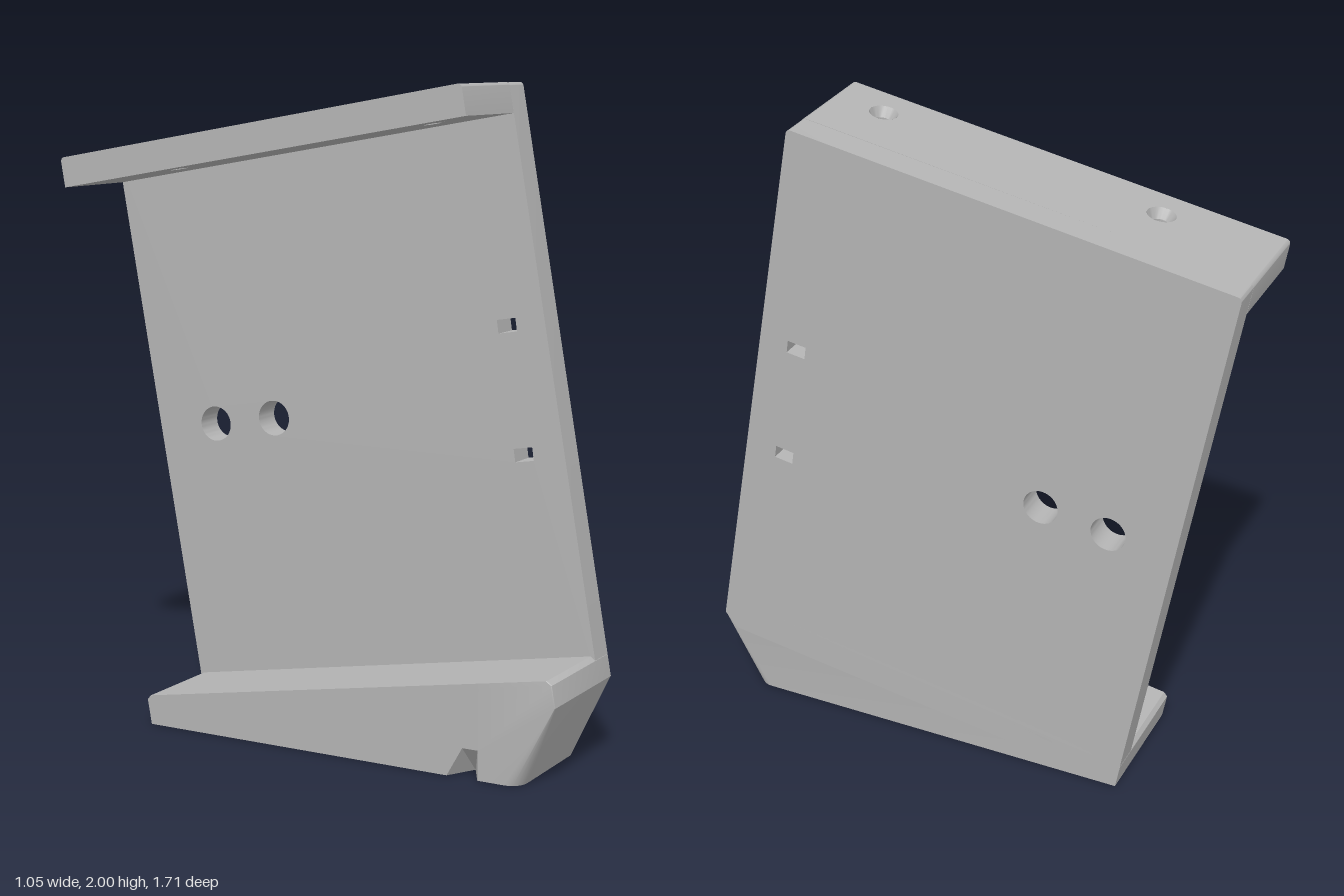
import * as THREE from 'three';
import { toCreasedNormals } from 'three/addons/utils/BufferGeometryUtils.js';

const grey = new THREE.MeshStandardMaterial({ color: 0xb4b4b4, side: THREE.DoubleSide });
grey.name = 'grey';

const LEFT = -0.197, RIGHT = 0.203; // across the bracket
const T = 0.092;                    // plate thickness
const INNER = RIGHT - T;
const R = 0.015;                    // small edge rounding
const TILT = THREE.MathUtils.degToRad(9.9);

function part(name, geometry, parent) {
  const mesh = new THREE.Mesh(geometry, grey);
  mesh.name = name;
  parent.add(mesh);
  return mesh;
}

const polygon = pts => new THREE.Shape(pts.map(p => new THREE.Vector2(...p)));

function circle(x, y, r) {
  const path = new THREE.Path();
  path.absarc(x, y, r, 0, Math.PI * 2);
  return path;
}

// Extrude a (z, y) profile sideways, from x0 to x1
function sideways(shape, x0, x1) {
  const g = new THREE.ExtrudeGeometry(shape, { depth: x1 - x0, bevelEnabled: false, curveSegments: 24 });
  return toCreasedNormals(g.rotateY(-Math.PI / 2).translate(x1, 0, 0), 0.6);
}

// Leaning side plate with two round holes and two small slots
function addWall(parent) {
  const shape = new THREE.Shape();
  shape.moveTo(-0.5, 0.01);
  shape.lineTo(0.8, 0.2);
  shape.lineTo(0.842, 0.25);
  shape.lineTo(0.531, 1.985);
  shape.quadraticCurveTo(0.528, 2, 0.513, 1.997);
  shape.lineTo(-0.836, 1.763);
  shape.quadraticCurveTo(-0.851, 1.76, -0.848, 1.745);
  shape.lineTo(-0.538, 0.01);
  for (const [z, y] of [[-0.272, 0.95], [-0.487, 0.915]]) shape.holes.push(circle(z, y, 0.055));
  for (const [z, y] of [[0.53, 1.29], [0.59, 0.91]]) {
    const corners = [[-1, -1], [1, -1], [1, 1], [-1, 1]].map(([a, b]) =>
      new THREE.Vector2(z + a * 0.03 - b * 0.003, y + b * 0.02 + a * 0.005));
    shape.holes.push(new THREE.Path(corners));
  }
  part('sidePlate', sideways(shape, INNER, RIGHT), parent);
}

// Sloping top flange with two countersunk screw holes
function addTopFlange(parent) {
  const flange = new THREE.Group();
  flange.name = 'topFlange';
  flange.position.set(0, 1.76, -0.851);
  flange.rotation.x = -TILT;
  parent.add(flange);

  const length = 1.4, holeX = -0.08, holes = [0.35, 1.234];
  const shape = polygon([[LEFT, -R], [LEFT, R - length], [INNER, R - length], [INNER, -R]]);
  for (const u of holes) shape.holes.push(circle(holeX, -u, 0.043));
  const g = new THREE.ExtrudeGeometry(shape, { depth: T, bevelEnabled: false, curveSegments: 24 });
  part('flangePlate', toCreasedNormals(g.rotateX(-Math.PI / 2).translate(0, -T, 0), 0.6), flange);

  for (const u of holes) {
    const profile = [[0.043, -T], [0.027, -T], [0.027, -0.03], [0.043, 0]].map(p => new THREE.Vector2(...p));
    part('screwHole', toCreasedNormals(new THREE.LatheGeometry(profile, 32), 0.4), flange)
      .position.set(holeX, 0, u);
  }

  // Rounded ends
  for (const [start, dir] of [[0, 1], [length, -1]]) {
    const end = new THREE.Shape();
    end.moveTo(start, -T);
    end.lineTo(start + dir * R, -T);
    end.lineTo(start + dir * R, 0);
    end.quadraticCurveTo(start, 0, start, -R);
    part('roundedEnd', sideways(end, LEFT, INNER), flange);
  }
}

// Wedge foot: level underside, sloping top, undercut nose with corners that round off downwards
function addFoot(parent) {
  const slopeY = z => 0.33 + 0.174 * (z - 0.828);
  const levels = [
    { back: -0.537, front: 0.735, r: 0.05, backY: 0, frontY: 0 },
    { back: -0.546, front: 0.842, r: 0.004, backY: 0.05, frontY: 0.25 },
    { back: -0.551, front: 0.831, r: 0.004, backY: 0.078, frontY: 0.316 },
    { back: -0.54, front: 0.815, r: 0.004 },
  ];
  const loops = levels.map((l, i) => {
    const top = i === 3;
    const pt = (x, z, y) => [x, top ? slopeY(z) : y, z];
    const loop = [pt(RIGHT, l.back, l.backY), pt(LEFT, l.back, l.backY)];
    // Notch in the lower left edge
    for (const z of [0.5, 0.55, 0.6]) {
      const x = i === 0 && z === 0.55 ? LEFT + 0.09 : LEFT;
      loop.push(pt(x, z, [0, 0.09, slopeY(z) - 0.015][i]));
    }
    // Front corners
    for (const [cx, from] of [[LEFT + l.r, Math.PI], [RIGHT - l.r, Math.PI / 2]]) {
      for (let k = 0; k <= 6; k++) {
        const a = from - k * Math.PI / 12;
        loop.push(pt(cx + l.r * Math.cos(a), l.front - l.r + l.r * Math.sin(a), l.frontY));
      }
    }
    return loop;
  });

  const pos = [];
  const n = loops[0].length;
  for (let i = 0; i < 3; i++) {
    for (let j = 0; j < n; j++) {
      const k = (j + 1) % n;
      const a = loops[i][j], b = loops[i][k], c = loops[i + 1][k], d = loops[i + 1][j];
      pos.push(...a, ...b, ...c, ...a, ...c, ...d);
    }
  }
  for (let j = 1; j < n - 1; j++) pos.push(...loops[3][0], ...loops[3][j], ...loops[3][j + 1]);
  const g = new THREE.BufferGeometry();
  g.setAttribute('position', new THREE.Float32BufferAttribute(pos, 3));
  part('foot', toCreasedNormals(g, 0.5), parent);

  // Underside with a blind hole
  const hole = [-0.024, 0.266], r = 0.06;
  const under = polygon(loops[0].map(p => [p[0], p[2]]));
  under.holes.push(circle(...hole, r));
  part('underside', new THREE.ShapeGeometry(under, 24).rotateX(Math.PI / 2), parent);
  const bore = [[0, 0.15], [r, 0.15], [r, 0]].map(p => new THREE.Vector2(...p));
  part('blindHole', toCreasedNormals(new THREE.LatheGeometry(bore, 32), 0.5), parent)
    .position.set(hole[0], 0, hole[1]);
}

export function createModel() {
  const model = new THREE.Group();
  model.name = 'bracket';
  const body = new THREE.Group();
  body.name = 'bracketBody';
  body.rotation.y = THREE.MathUtils.degToRad(24);
  model.add(body);
  addWall(body);
  addTopFlange(body);
  addFoot(body);
  return model;
}
